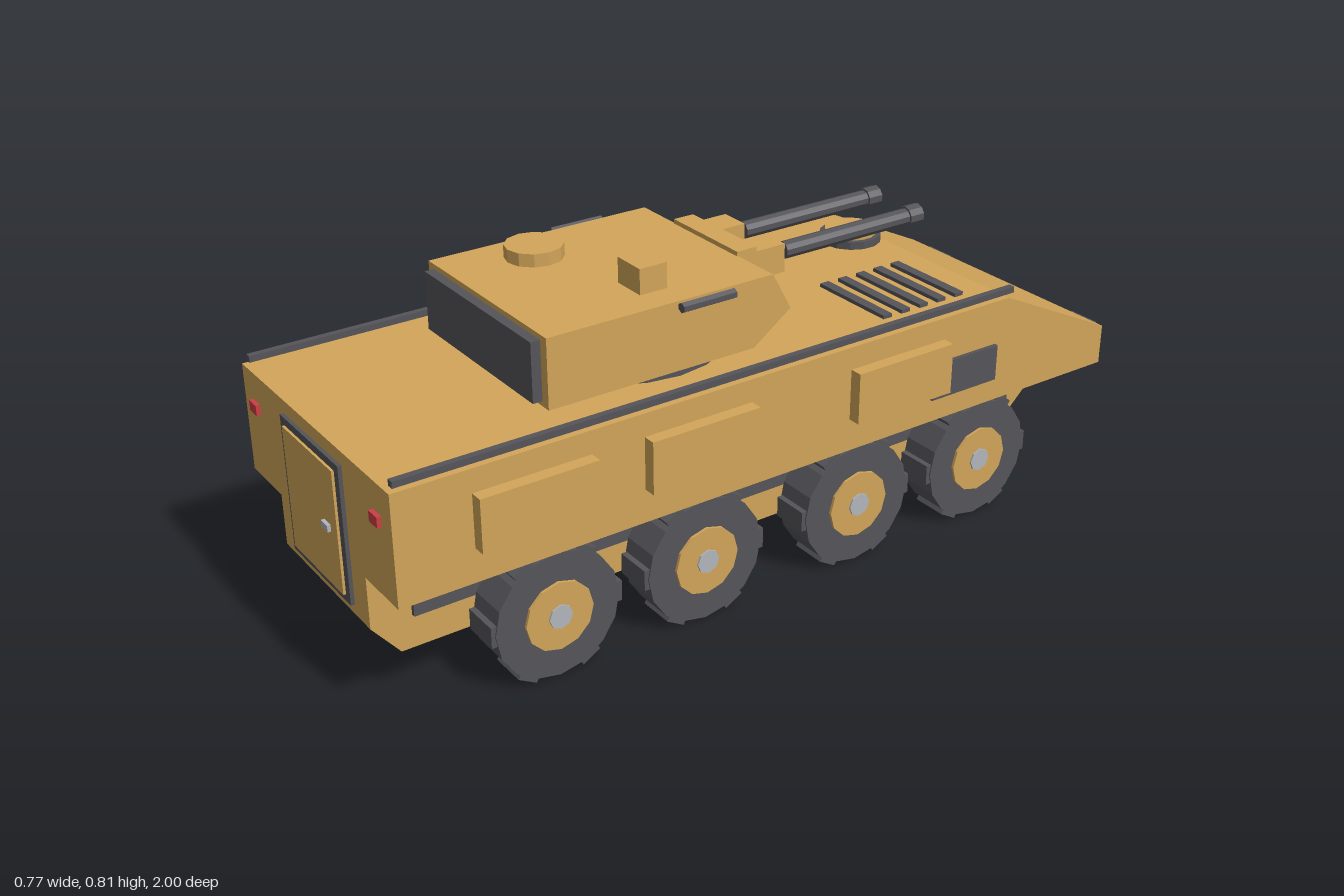
import * as THREE from 'three';

const paint = (name, color) => {
  const m = new THREE.MeshStandardMaterial({ color });
  m.name = name;
  return m;
};

export function createModel() {
  const sand = paint('sand paint', 0xd2a559);
  const dark = paint('dark grey', 0x555459);
  const silver = paint('silver', 0xb2b5ba);
  const red = paint('tail light red', 0xcc3f45);

  const root = new THREE.Group();
  root.name = 'armouredCarrier';

  const add = (name, geo, mat, parent = root) => {
    const g = geo.index ? geo.toNonIndexed() : geo;
    g.computeVertexNormals(); // faceted look
    const m = new THREE.Mesh(g, mat);
    m.name = name;
    parent.add(m);
    return m;
  };
  // Box given by its extents on each axis
  const box = (name, mat, [x0, x1], [y0, y1], [z0, z1], parent = root) => {
    const g = new THREE.BoxGeometry(x1 - x0, y1 - y0, z1 - z0);
    g.translate((x0 + x1) / 2, (y0 + y1) / 2, (z0 + z1) / 2);
    return add(name, g, mat, parent);
  };
  // Side profile of [z, y] points extruded across the width
  const slab = (name, mat, points, halfWidth, parent = root) => {
    const shape = new THREE.Shape(points.map(([z, y]) => new THREE.Vector2(-z, y)));
    const g = new THREE.ExtrudeGeometry(shape, { depth: halfWidth * 2, bevelEnabled: false });
    g.translate(0, 0, -halfWidth);
    g.rotateY(Math.PI / 2);
    return add(name, g, mat, parent);
  };
  // Cylinder along an axis
  const rod = (name, mat, r, len, sides, axis, pos, parent = root) => {
    const g = new THREE.CylinderGeometry(r, r, len, sides);
    if (axis === 'x') g.rotateZ(Math.PI / 2);
    if (axis === 'z') g.rotateX(Math.PI / 2);
    g.translate(...pos);
    return add(name, g, mat, parent);
  };
  const span = (s, a, b) => (s > 0 ? [a, b] : [-b, -a]);

  // Hull
  slab('upperHull', sand, [[0.975, 0.32], [0.975, 0.58], [-0.64, 0.58], [-0.975, 0.42], [-0.975, 0.32]], 0.353);
  slab('lowerHull', sand, [[0.975, 0.32], [0.975, 0.195], [0.91, 0.115], [-0.76, 0.115], [-0.975, 0.32]], 0.207);

  // Rear door
  box('doorFrame', dark, [-0.14, 0.14], [0.22, 0.548], [0.97, 0.984]);
  box('door', sand, [-0.12, 0.12], [0.238, 0.53], [0.98, 0.99]);
  box('doorHandle', silver, [0.06, 0.09], [0.376, 0.392], [0.988, 0.998]);

  // Parts mirrored on both sides
  for (const s of [1, -1]) {
    box('wheelWell', dark, span(s, 0.2, 0.217), [0.195, 0.32], [-0.8, 0.88]);
    box('roofRail', dark, span(s, 0.332, 0.348), [0.587, 0.602], [-0.66, 0.965]);
    for (const z of [0.66, 0.253, -0.302])
      box('armourPanel', sand, span(s, 0.35, 0.384), [0.4, 0.525], [z - 0.139, z + 0.139]);
    box('tailLight', red, span(s, 0.273, 0.309), [0.487, 0.512], [0.97, 0.985]);
    box('headlight', silver, span(s, 0.23, 0.305), [0.362, 0.4], [-0.988, -0.97]);
    box('headlightVisor', dark, span(s, 0.225, 0.31), [0.398, 0.408], [-1, -0.97]);
    box('towHook', dark, span(s, 0.115, 0.145), [0.232, 0.265], [-0.917, -0.85]);
  }
  box('exhaustPanel', dark, [0.35, 0.363], [0.38, 0.47], [-0.605, -0.405]);

  // Engine grille and driver hatch
  for (let i = 0; i < 5; i++)
    box('grilleSlat', dark, [0.045, 0.277], [0.575, 0.589], [-0.563 + i * 0.055, -0.538 + i * 0.055]);
  rod('driverHatchRing', dark, 0.078, 0.03, 14, 'y', [-0.155, 0.585, -0.575]);
  rod('driverHatch', sand, 0.066, 0.03, 14, 'y', [-0.155, 0.597, -0.575]);

  // Wheels
  for (const s of [1, -1]) for (const z of [0.603, 0.222, -0.212, -0.593]) {
    const wheel = new THREE.Group();
    wheel.name = 'wheel';
    wheel.position.set(s * 0.284, 0.157, z);
    root.add(wheel);
    rod('tyre', dark, 0.152, 0.098, 16, 'x', [0, 0, 0], wheel);
    rod('rim', sand, 0.083, 0.112, 12, 'x', [0, 0, 0], wheel);
    rod('hub', silver, 0.029, 0.121, 8, 'x', [0, 0, 0], wheel);
    for (let i = 0; i < 6; i++) {
      const tread = box('treadBlock', dark, [-0.046, 0.046], [-0.025, 0.025], [0.13, 0.161], wheel);
      tread.rotation.x = (i * Math.PI) / 3;
    }
  }

  // Turret
  const turret = new THREE.Group();
  turret.name = 'turret';
  root.add(turret);
  rod('turretRing', dark, 0.25, 0.02, 20, 'y', [0, 0.585, 0.23], turret);
  slab('turretBody', sand, [[0.56, 0.594], [0.56, 0.757], [-0.015, 0.757], [-0.065, 0.665], [0.035, 0.594]], 0.252, turret);
  box('rearWindow', dark, [-0.228, 0.228], [0.606, 0.745], [0.555, 0.583], turret);
  rod('commanderHatch', sand, 0.068, 0.04, 12, 'y', [-0.14, 0.768, 0.355], turret);
  box('sightHousing', sand, [0.095, 0.18], [0.75, 0.817], [0.215, 0.285], turret);
  box('sightFrame', dark, [0.103, 0.172], [0.766, 0.81], [0.211, 0.22], turret);
  box('sightLens', silver, [0.112, 0.163], [0.774, 0.802], [0.208, 0.216], turret);
  box('chinSensor', dark, [-0.05, 0.05], [0.618, 0.652], [-0.045, 0.02], turret);

  // Twin guns
  box('mantlet', sand, [-0.124, 0.124], [0.67, 0.768], [-0.066, -0.012], turret);
  for (const s of [1, -1]) {
    const x = s * 0.077;
    box('gunCollar', sand, [x - 0.038, x + 0.038], [0.683, 0.752], [-0.153, -0.06], turret);
    rod('gunBarrel', dark, 0.021, 0.4, 10, 'z', [x, 0.718, -0.376], turret);
    rod('muzzle', dark, 0.026, 0.04, 10, 'z', [x, 0.718, -0.567], turret);
    rod('smokeLauncher', dark, 0.012, 0.138, 6, 'z', [s * 0.265, 0.746, 0.168], turret);
  }
  return root;
}
